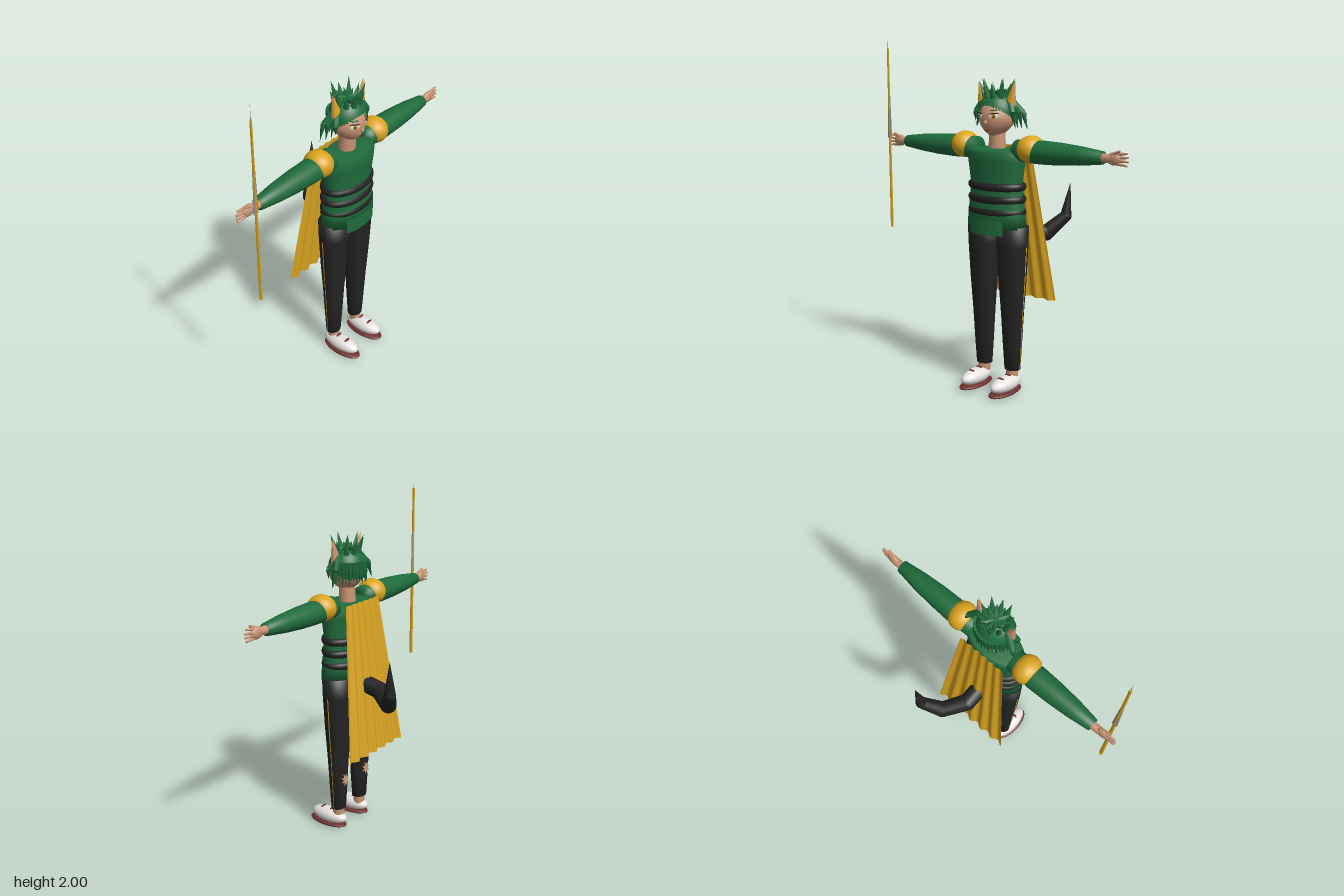
import * as THREE from 'three';

const mat = (name, color, side = THREE.FrontSide) => {
  const m = new THREE.MeshStandardMaterial({ color, side });
  m.name = name;
  return m;
};

export function createModel() {
  const green = mat('green', 0x1f6b3c, THREE.DoubleSide);
  const gold = mat('gold', 0xdaa520, THREE.DoubleSide);
  const black = mat('black', 0x232323);
  const skin = mat('skin', 0xc99474, THREE.DoubleSide);
  const white = mat('white', 0xf4efee);
  const maroon = mat('maroon', 0x6b302e);
  const steel = mat('steel', 0x8a8f96);

  const root = new THREE.Group();
  root.name = 'caped figure';
  const V = (x, y, z) => new THREE.Vector3(x, y, z);

  const add = (name, geo, m, x = 0, y = 0, z = 0, parent = root) => {
    const mesh = new THREE.Mesh(geo, m);
    mesh.name = name;
    mesh.position.set(x, y, z);
    parent.add(mesh);
    return mesh;
  };
  const ball = (name, m, [x, y, z], [rx, ry, rz], parent = root) =>
    add(name, new THREE.SphereGeometry(1, 24, 16).scale(rx, ry, rz), m, x, y, z, parent);
  // tapered limb between two points
  const taper = (name, m, a, b, r0, r1, sides = 8, parent = root) => {
    const d = b.clone().sub(a);
    const mesh = add(name, new THREE.CylinderGeometry(r1, r0, d.length(), sides), m, 0, 0, 0, parent);
    mesh.position.copy(a).addScaledVector(d, 0.5);
    mesh.quaternion.setFromUnitVectors(V(0, 1, 0), d.normalize());
    return mesh;
  };
  const lathe = (pts, rz = 1, grow = 0, start = 0, len = Math.PI * 2, seg = 32) =>
    new THREE.LatheGeometry(pts.map(([r, y]) => new THREE.Vector2(r ? r + grow : 0, y)), seg, start, len).scale(1, 1, rz);
  const reshape = (geo, rule) => {
    const p = geo.attributes.position;
    const v = V(0, 0, 0);
    for (let i = 0; i < p.count; i++) {
      rule(v.fromBufferAttribute(p, i), i);
      p.setXYZ(i, v.x, v.y, v.z);
    }
    geo.computeVertexNormals();
    return geo;
  };

  // torso with a rounded-off top, a front tab and three belts
  add('tunic', lathe([[0, 0.95], [0.19, 0.95], [0.183, 1.03], [0.17, 1.13], [0.167, 1.2],
    [0.183, 1.32], [0.185, 1.36], [0.165, 1.385], [0, 1.385]], 0.58), green, 0, 0, 0.135);
  add('tunicTab', lathe([[0.193, 0.915], [0.19, 1.0]], 0.58, 0.002, -0.62, 1.24, 12), green, 0, 0, 0.135);
  for (const y of [1.04, 1.11, 1.18]) {
    const belt = add('belt', new THREE.TorusGeometry(0.163, 0.022, 10, 40), black, 0, y, 0.13);
    belt.rotation.x = Math.PI / 2;
    belt.scale.set(1, 0.63, 1);
  }
  taper('neck', skin, V(0, 1.37, 0.125), V(0, 1.5, 0.13), 0.048, 0.044, 20);

  // head narrowing to the chin
  add('head', reshape(new THREE.SphereGeometry(1, 32, 24), v => {
    const t = Math.max(0, -v.y);
    v.set(v.x * 0.1 * (1 - 0.35 * t * t), v.y * 0.1, v.z * 0.097 + 0.012 * t * t);
  }), skin, 0, 1.55, 0.13);
  ball('nose', skin, [0, 1.53, 0.229], [0.008, 0.012, 0.01]);
  ball('mouth', maroon, [0, 1.489, 0.214], [0.018, 0.004, 0.004]);
  for (const s of [-1, 1]) {
    const eye = new THREE.Group();
    eye.name = 'eye';
    eye.position.set(s * 0.048, 1.565, 0.217);
    eye.rotation.y = s * 0.48;
    root.add(eye);
    ball('eyeWhite', white, [0, 0, 0], [0.028, 0.015, 0.004], eye);
    ball('iris', gold, [0, 0, 0.002], [0.013, 0.014, 0.004], eye);
    ball('pupil', black, [0, 0, 0.004], [0.005, 0.009, 0.004], eye);
    const lash = ball('lash', black, [0, 0.014, 0.001], [0.03, 0.004, 0.004], eye);
    lash.rotation.z = s * 0.12;
    ball('brow', green, [0, 0.032, -0.005], [0.025, 0.003, 0.005], eye).rotation.z = s * 0.12;
  }

  // hair cap: short fringe in front, low at the back
  add('hairCap', reshape(new THREE.SphereGeometry(1, 40, 16), v => {
    const polar = Math.acos(THREE.MathUtils.clamp(v.y, -1, 1));
    const a = Math.atan2(v.x, v.z);
    const th = polar / Math.PI * (1.22 + 0.85 * (1 - Math.cos(a)) / 2 + 0.18 * Math.sin(a) ** 2);
    v.set(Math.sin(a) * Math.sin(th) * 0.111, Math.cos(th) * 0.118, Math.cos(a) * Math.sin(th) * 0.104);
  }), green, 0, 1.575, 0.125);
  // crown of upright spikes and a flatter ring below it
  for (let i = 0; i < 10; i++) {
    const a = (i + 0.5) / 10 * Math.PI * 2, c = Math.cos(a), n = Math.sin(a);
    taper('crownSpike', green, V(n * 0.06, 1.65, 0.125 + c * 0.055),
      V(n * 0.095, i % 2 ? 1.765 : 1.74, 0.125 + c * 0.095), 0.022, 0, 6);
    const b = i / 10 * Math.PI * 2;
    taper('topTuft', green, V(Math.sin(b) * 0.02, 1.675, 0.125 + Math.cos(b) * 0.02),
      V(Math.sin(b) * 0.08, 1.705, 0.125 + Math.cos(b) * 0.08), 0.022, 0, 6);
  }
  // hanging strands around the back
  for (let i = 0; i < 17; i++) {
    const a = Math.PI * (0.53 + 0.94 * i / 16), c = Math.cos(a), n = Math.sin(a);
    taper('backStrand', green, V(n * 0.098, 1.62, 0.125 + c * 0.092),
      V(n * 0.118, 1.49 + (i % 2) * 0.02, 0.125 + c * 0.105), 0.019, 0, 6);
  }

  for (const s of [-1, 1]) {
    // side locks
    for (const [x, y, z] of [[0.18, 1.49, 0.09], [0.155, 1.495, 0.11], [0.13, 1.53, 0.155]]) {
      const mid = V(s * (x * 0.45 + 0.07), 1.58, z);
      taper('sideLock', green, V(s * 0.085, 1.65, 0.125), mid, 0.024, 0.016, 6);
      taper('sideLockTip', green, mid, V(s * x, y, z), 0.016, 0, 6);
    }
    // ears
    const base = [s * 0.108, 1.685, 0.128];
    const ear = add('ear', new THREE.ConeGeometry(0.037, 0.14, 12).scale(1, 1, 0.6), skin, ...base);
    const inner = add('innerEar', new THREE.ConeGeometry(0.033, 0.125, 12).scale(1, 1, 0.5), gold, base[0], base[1] - 0.003, 0.137);
    ear.rotation.z = inner.rotation.z = -s * 0.24;

    // shoulder, arm and hand (arm axis is local y)
    ball('shoulderPad', gold, [s * 0.23, 1.392, 0.125], [0.076, 0.075, 0.086]);
    const arm = new THREE.Group();
    arm.name = 'arm';
    arm.position.set(0, 1.38, 0.125);
    arm.rotation.z = -s * Math.PI / 2;
    root.add(arm);
    add('sleeve', lathe([[0, 0.14], [0.06, 0.14], [0.064, 0.3], [0.06, 0.42], [0.05, 0.55], [0.034, 0.68], [0, 0.68]], 1.08),
      green, 0, 0, 0, arm);
    taper('wrist', skin, V(0, 0.67, 0), V(0, 0.73, 0), 0.024, 0.022, 14, arm);
    ball('palm', skin, [0, 0.745, 0], [0.034, 0.042, 0.019], arm);
    for (const k of [-1.5, -0.5, 0.5, 1.5])
      taper('finger', skin, V(k * 0.015, 0.76, 0), V(k * 0.021, 0.832 - Math.abs(k) * 0.007, 0), 0.01, 0.005, 8, arm);
    taper('thumb', skin, V(-s * 0.02, 0.735, 0.005), V(-s * 0.042, 0.785, 0.01), 0.011, 0.006, 8, arm);

    // trouser leg with side stripe and torn patches behind
    const leg = [[0.048, 0.13], [0.058, 0.28], [0.068, 0.45], [0.083, 0.65], [0.094, 0.85], [0.097, 0.96]];
    const x = s * 0.102;
    add('trouserLeg', lathe([[0, 0.13], ...leg, [0, 0.96]], 0.84), black, x, 0, 0.123);
    add('sideStripe', lathe(leg.slice(0, 5), 0.84, 0.002, s * Math.PI / 2 - 0.05, 0.1, 2), gold, x, 0, 0.12);
    const patch = add('tornPatch', reshape(new THREE.CircleGeometry(1, 18), (v, i) => {
      const r = i % 2 ? 0.036 : 0.018;
      v.set(v.x * r, v.y * r * 1.25, -((v.x * r) ** 2) * 7 - v.y * r * 0.11);
    }), skin, x, 0.325, 0.067);
    patch.rotation.y = Math.PI;

    // ankle and shoe
    taper('ankle', skin, V(x, 0.07, 0.125), V(x, 0.15, 0.125), 0.034, 0.034, 16);
    ball('shoe', white, [s * 0.107, 0.062, 0.19], [0.053, 0.045, 0.125]);
    ball('sole', maroon, [s * 0.107, 0.018, 0.198], [0.06, 0.018, 0.13]);
    for (const z of [0.17, 0.235])
      ball('shoeMark', maroon, [s * 0.107, z < 0.2 ? 0.106 : 0.103, z], [0.022, 0.005, 0.008]);
  }

  // pleated cape flaring downwards
  add('cape', reshape(new THREE.PlaneGeometry(2, 1, 72, 8), v => {
    const t = 0.5 - v.y, u = v.x;
    v.set(u * (0.15 + 0.105 * t), 1.395 - 0.885 * t,
      0.025 - 0.095 * t - 0.011 * (0.35 + 0.65 * t) * Math.cos(u * Math.PI * 6));
  }), gold);

  // bent tail ending in a point
  const tail = [[0, 0.925, 0.05, 0.05], [0, 0.895, -0.1, 0.05], [0.085, 0.86, -0.22, 0.046],
    [0.175, 0.96, -0.292, 0.034], [0.197, 1.16, -0.305, 0]];
  for (let i = 0; i < 4; i++) {
    const [a, b] = [tail[i], tail[i + 1]];
    taper('tailSegment', black, V(...a.slice(0, 3)), V(...b.slice(0, 3)), a[3], b[3], 16);
    ball('tailJoint', black, a.slice(0, 3), [a[3], a[3], a[3]]);
  }

  // spear
  taper('spearShaft', gold, V(-0.763, 0.86, 0.195), V(-0.763, 1.92, 0.195), 0.012, 0.008, 4);
  add('spearBlade', new THREE.ConeGeometry(0.017, 0.6, 8).scale(1, 1, 0.25), steel, -0.763, 1.7, 0.195);

  return root;
}
